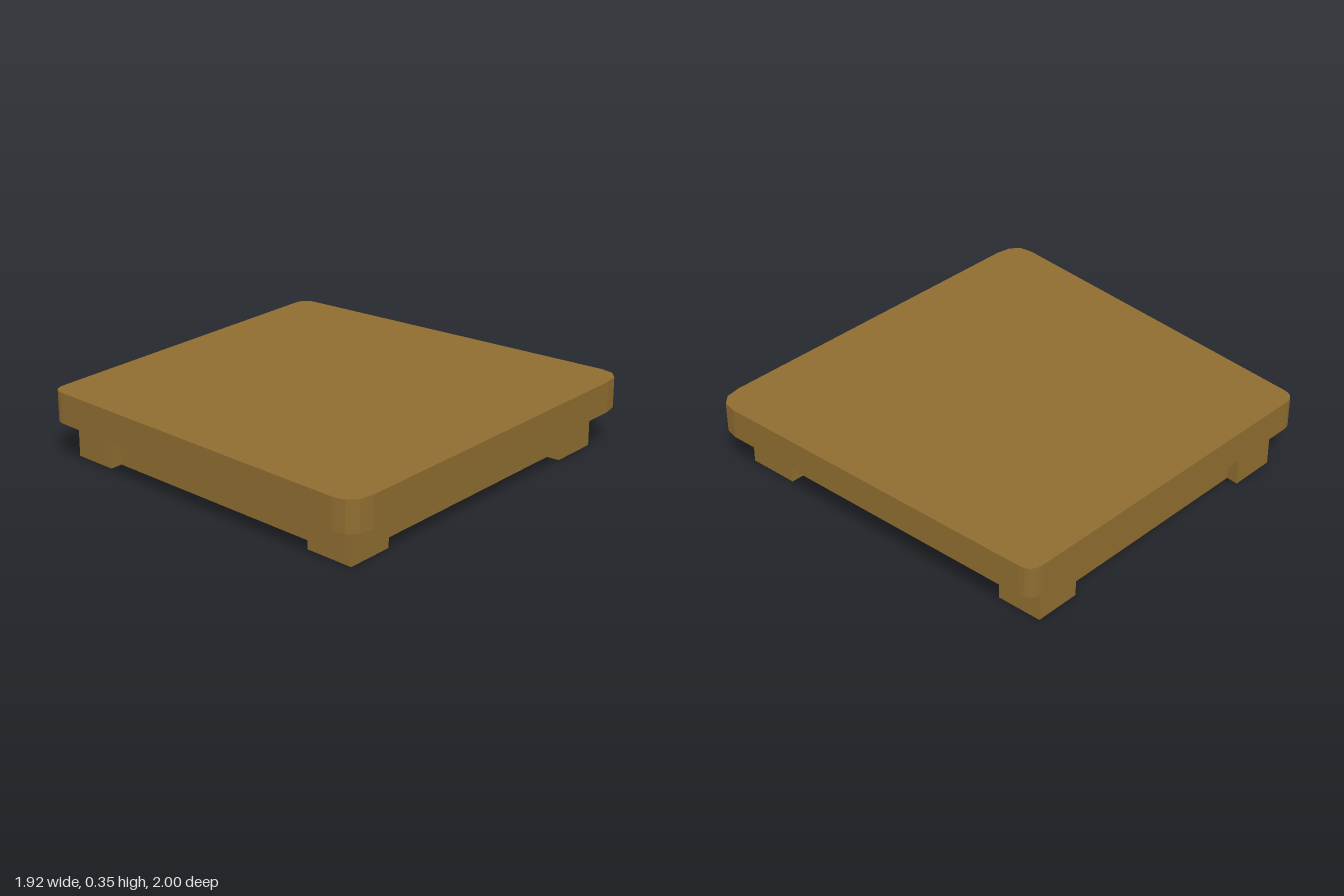
import * as THREE from 'three';

const BASE = 0.2, TOP = 0.355, SLOPE = 0.058;
const wood = new THREE.MeshStandardMaterial({ color: 0x8f6d30, flatShading: true });

// Extrudes a plan outline of [x, z] points between two heights.
function prism(name, points, y0, y1) {
  const shape = new THREE.Shape(points.map(([x, z]) => new THREE.Vector2(x, z)));
  const geo = new THREE.ExtrudeGeometry(shape, { depth: y1 - y0, bevelEnabled: false });
  geo.rotateX(Math.PI / 2).translate(0, y1, 0);
  const mesh = new THREE.Mesh(geo, wood);
  mesh.name = name;
  return mesh;
}

// Points of a rounded corner from a to b around the sharp corner c.
function corner(a, c, b, segments) {
  const v = (p) => new THREE.Vector2(...p);
  return new THREE.QuadraticBezierCurve(v(a), v(c), v(b)).getPoints(segments).map((p) => [p.x, p.y]);
}

export function createModel() {
  const model = new THREE.Group();
  model.name = 'taperedSeat';

  // Top panel: tapered in plan, with larger rounding at the wide end
  const half = [
    ...corner([-0.96, 0.82], [-0.96, 0.893], [-0.89, 0.897], 5),
    ...corner([0.84, 1], [0.96, 1.007], [0.96, 0.87], 3),
  ];
  const mirrored = half.map(([x, z]) => [x, -z]).reverse();
  model.add(prism('topPanel', [...half, ...mirrored], BASE, TOP));

  // Outer line of the base, following the taper; d is the inset
  const edge = (x, d) => 0.89 + SLOPE * (x - 0.855) - d;
  const strip = (x0, x1, d0, d1, s) => [
    [x0, s * edge(x0, d0)], [x1, s * edge(x1, d0)],
    [x1, s * edge(x1, d1)], [x0, s * edge(x0, d1)],
  ];

  for (const [s, label] of [[1, 'front'], [-1, 'back']]) {
    // Corner blocks
    model.add(prism(label + 'LeftBlock', strip(0.6, 0.855, 0, 0.25, s), 0, BASE));
    model.add(prism(label + 'RightBlock', strip(-0.908, -0.68, 0, 0.23, s), 0, BASE));
    // Rail set back between the blocks
    model.add(prism(label + 'Rail', strip(-0.68, 0.6, 0.065, 0.185, s), 0, BASE));
  }

  // Rails along the wide and narrow ends
  const endRail = (name, x0, x1, z) =>
    model.add(prism(name, [[x0, -z], [x1, -z], [x1, z], [x0, z]], 0, BASE));
  endRail('leftRail', 0.67, 0.79, 0.635);
  endRail('rightRail', -0.848, -0.738, 0.56);

  return model;
}
